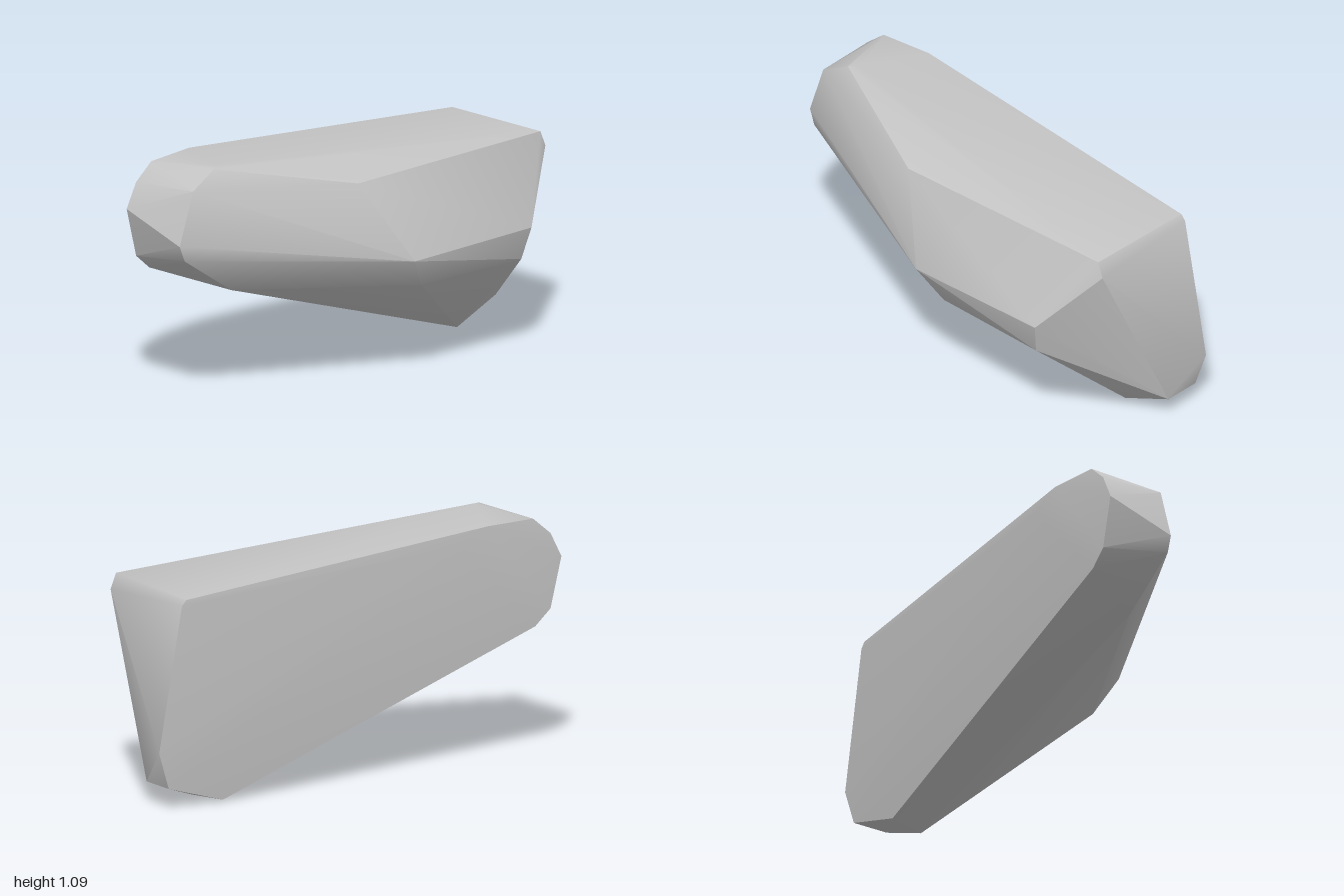
import * as THREE from 'three';
import { ConvexGeometry } from 'three/addons/geometries/ConvexGeometry.js';
import { toCreasedNormals } from 'three/addons/utils/BufferGeometryUtils.js';

// Corners of the chipped slab, grouped by region
const rightEnd = [
  [1, 0.87, -0.06], [0.975, 0.94, -0.05], [0.86, 0.59, 0.2], [0.82, 0.445, 0.18],
  [0.88, 0.095, -0.41], [0.8, 0.095, -0.565], [0.845, 0.26, -0.597],
];
const underside = [
  [0.67, 0.003, -0.29], [0.55, 0.01, -0.43], [0.3, 0.445, 0.41], [-0.57, 0.515, 0.45],
];
const topFace = [
  [0.72, 0.925, -0.53], [0.74, 0.9, -0.54], [0, 0.95, 0.46], [-0.66, 1.085, 0.49],
  [-0.64, 1.09, 0.45], [-0.66, 1.067, 0.115], [-0.53, 1.0, 0.045], [-0.87, 1.065, 0.245],
];
const leftEnd = [
  [-1, 0.88, 0.31], [-0.95, 0.99, 0.285], [-0.95, 0.655, 0.285], [-0.88, 0.585, 0.25],
  [-0.775, 1.015, 0.56], [-0.845, 0.78, 0.595], [-0.82, 0.71, 0.585],
];
const frontEdge = [[0.24, 0.59, 0.515]];

export function createModel() {
  const group = new THREE.Group();
  group.name = 'rock';

  const stone = new THREE.MeshStandardMaterial({ color: 0xc4c4c4 });
  stone.name = 'stone grey';

  // Convex boulder: shallow facets blend, strong edges stay sharp
  const corners = [...rightEnd, ...underside, ...topFace, ...leftEnd, ...frontEdge]
    .map((p) => new THREE.Vector3(...p));
  const geometry = toCreasedNormals(new ConvexGeometry(corners), 0.55);
  const boulder = new THREE.Mesh(geometry, stone);
  boulder.name = 'boulder';
  group.add(boulder);

  return group;
}
